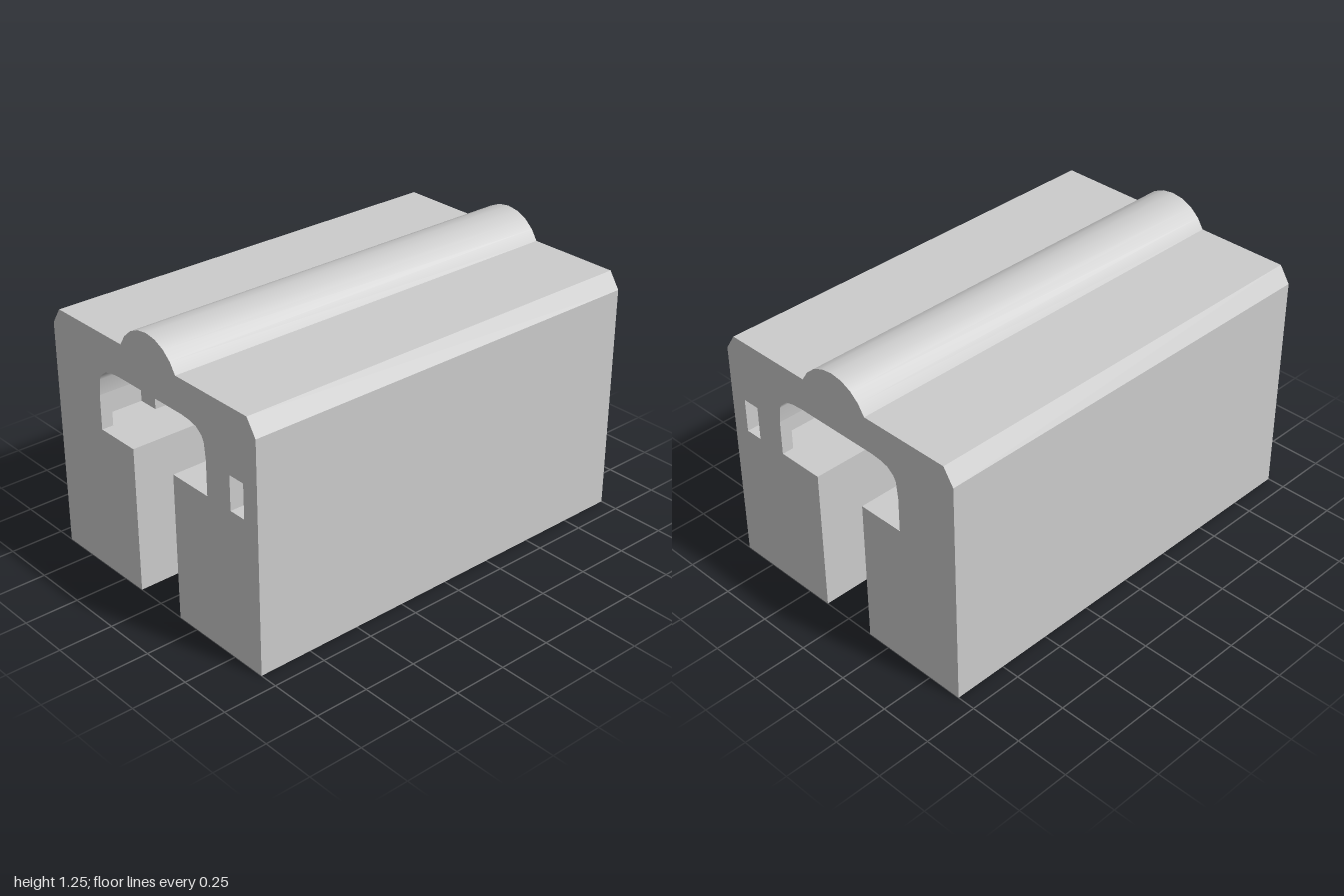
import * as THREE from 'three';

const material = new THREE.MeshStandardMaterial({ color: 0xcccccc, side: THREE.DoubleSide });

// Surface swept along x from an open profile of [z, y] points
function strip(points, x0, x1, smooth = false) {
  const positions = [], index = [];
  points.forEach(([z, y], i) => {
    positions.push(x0, y, z, x1, y, z);
    if (i) {
      const a = 2 * i - 2;
      index.push(a, a + 1, a + 2, a + 1, a + 3, a + 2);
    }
  });
  let geometry = new THREE.BufferGeometry();
  geometry.setAttribute('position', new THREE.Float32BufferAttribute(positions, 3));
  geometry.setIndex(index);
  if (!smooth) geometry = geometry.toNonIndexed();
  geometry.computeVertexNormals();
  return geometry;
}

// Flat face across x from a closed [z, y] outline
function cap(points, x, hole) {
  const toVectors = (list) => list.map(([z, y]) => new THREE.Vector2(z, y));
  const shape = new THREE.Shape(toVectors(points));
  if (hole) shape.holes.push(new THREE.Path(toVectors(hole)));
  return new THREE.ShapeGeometry(shape).rotateY(-Math.PI / 2).translate(x, 0, 0);
}

export function createModel() {
  const group = new THREE.Group();
  const add = (name, geometry) => {
    const mesh = new THREE.Mesh(geometry, material);
    mesh.name = name;
    group.add(mesh);
  };
  const mirror = (points) => points.map(([z, y]) => [-z, y]);

  // Half profiles on the +z side
  const outer = [[0.665, 0], [0.665, 1.06], [0.615, 1.135], [0.18, 1.135]];
  const legInner = [[0.355, 0.68], [0.135, 0.68], [0.135, 0]];
  const corner = [[0.21, 0.98], [0.26, 0.975], [0.3, 0.965], [0.332, 0.94],
    [0.346, 0.915], [0.355, 0.84]];

  // Rounded ridge along the top
  const ridge = [];
  const half = Math.asin(0.18 / 0.198);
  for (let i = 0; i <= 8; i++) {
    const a = half * (1 - i / 4);
    ridge.push([0.198 * Math.sin(a), 1.052 + 0.198 * Math.cos(a)]);
  }
  add('topRidge', strip(ridge, -1, 1, true));

  // End walls, pierced by the small duct
  const duct = [[0.5, 0.68], [0.583, 0.68], [0.583, 0.838], [0.5, 0.838]];
  const outline = [
    ...outer, ...ridge.slice(1, -1), ...mirror(outer).reverse(),
    ...mirror(legInner).reverse(), ...mirror(corner).reverse(), ...corner, ...legInner,
  ];
  for (const x of [-1, 1]) add('endWall', cap(outline, x, duct));
  add('duct', strip([...duct, duct[0]], -1, 1));

  // Side walls, legs (open underneath), channel corners and side pockets
  const pocket = [[0.355, 0.68], [0.455, 0.68], [0.455, 0.84], [0.355, 0.84]];
  const wall = [[0.355, 0.68], [0.355, 0.84]];
  const p0 = 0.73, p1 = 0.945;
  for (const side of [1, -1]) {
    const s = (points) => (side > 0 ? points : mirror(points));
    add('outerWall', strip(s(outer), -1, 1));
    add('legInnerWall', strip(s(legInner), -1, 1));
    add('channelCorner', strip(s(corner), -1, 1, true));
    for (const [a, b] of [[-1, -p1], [-p0, p0], [p1, 1]]) {
      add('channelWall', strip(s(wall), a, b));
    }
    for (const [a, b] of [[-p1, -p0], [p0, p1]]) {
      add('sidePocket', strip(s(pocket), a, b));
      for (const x of [a, b]) add('sidePocketEnd', cap(s(pocket), x));
    }
  }

  // Channel ceiling with a long shallow recess
  const w = 0.135, e = 0.96;
  for (const side of [1, -1]) {
    add('ceilingSide', strip([[side * w, 0.98], [side * 0.21, 0.98]], -1, 1));
    add('ceilingEnd', strip([[-w, 0.98], [w, 0.98]], side * e, side));
  }
  const recess = [[-w, 0.98], [-w, 1.06], [w, 1.06], [w, 0.98]];
  add('ceilingRecess', strip(recess, -e, e));
  for (const x of [-e, e]) add('ceilingRecessEnd', cap(recess, x));

  return group;
}
